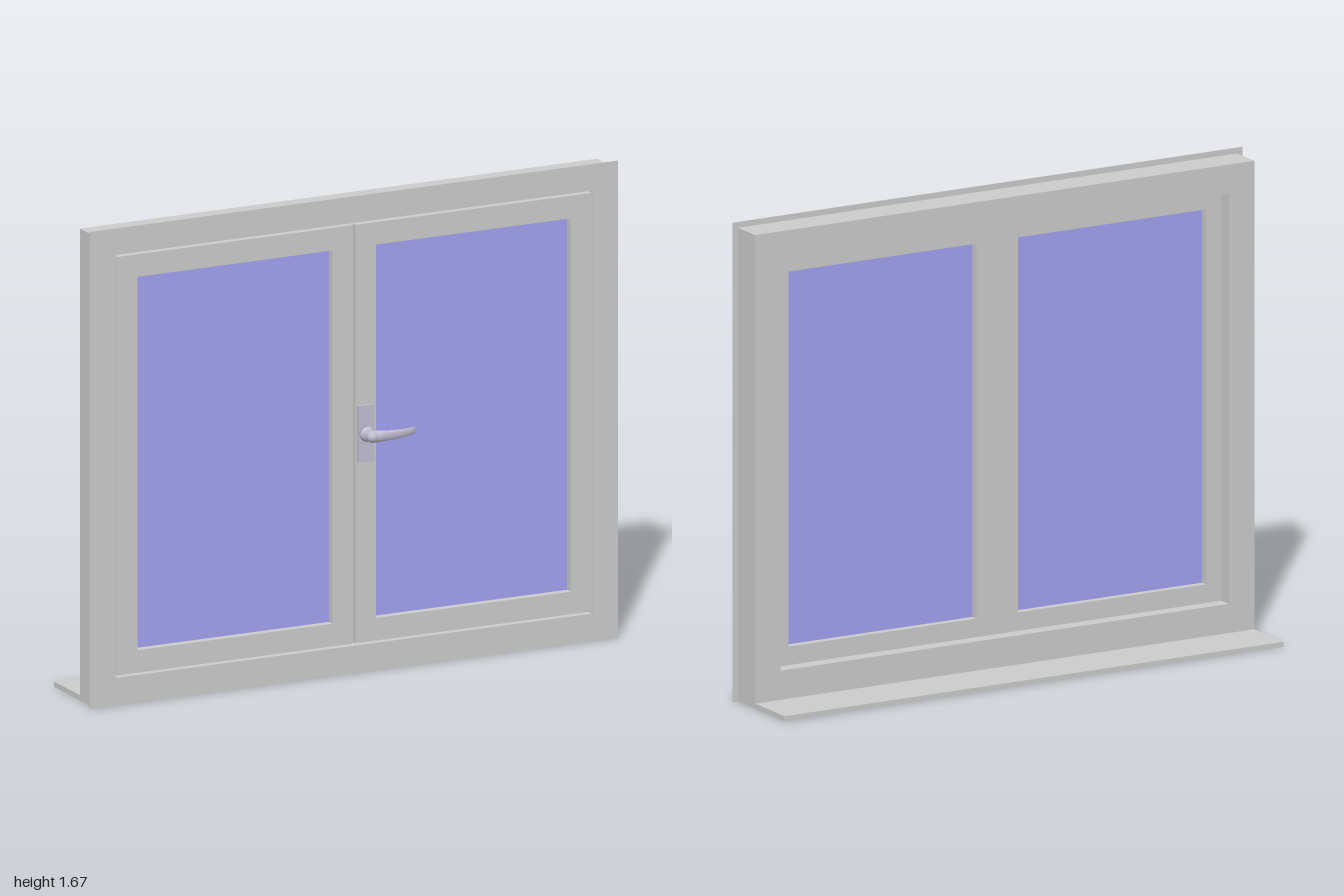
import * as THREE from 'three';

const grey = new THREE.MeshStandardMaterial({ color: 0xcccccc });
const glassMat = new THREE.MeshStandardMaterial({ color: 0xa2a2f0 });
const handleMat = new THREE.MeshStandardMaterial({ color: 0xc2bed2, side: THREE.DoubleSide });

function add(parent, name, geometry, material = grey) {
  const mesh = new THREE.Mesh(geometry, material);
  mesh.name = name;
  parent.add(mesh);
  return mesh;
}

// Box given by its minimum and maximum corners
function box(x0, x1, y0, y1, z0, z1) {
  return new THREE.BoxGeometry(x1 - x0, y1 - y0, z1 - z0)
    .translate((x0 + x1) / 2, (y0 + y1) / 2, (z0 + z1) / 2);
}

function rectPoints([x0, x1, y0, y1]) {
  return [[x0, y0], [x1, y0], [x1, y1], [x0, y1]].map(([x, y]) => new THREE.Vector2(x, y));
}

// Rectangular ring: outer and inner are [x0, x1, y0, y1]
function ring(outer, inner, z0, z1) {
  const shape = new THREE.Shape(rectPoints(outer));
  shape.holes.push(new THREE.Path(rectPoints(inner).reverse()));
  return new THREE.ExtrudeGeometry(shape, { depth: z1 - z0, bevelEnabled: false }).translate(0, 0, z0);
}

// Lever: elliptical sections [x, z, angle of path, half thickness, half height]
function leverGeometry(cy) {
  const sections = [
    [0.04, 0.14, Math.PI / 2, 0.015, 0.016],
    [0.041, 0.158, 1.5, 0.017, 0.018],
    [0.046, 0.172, 1.0, 0.021, 0.021],
    [0.06, 0.179, 0.3, 0.016, 0.02],
    [0.085, 0.182, 0, 0.009, 0.018],
    [0.12, 0.182, -0.08, 0.006, 0.016],
    [0.16, 0.178, -0.2, 0.005, 0.014],
    [0.19, 0.17, -0.35, 0.004, 0.013],
    [0.207, 0.163, -0.45, 0.003, 0.011],
    [0.21, 0.162, -0.45, 0.0005, 0.004],
  ];
  const n = 16, pos = [], index = [];
  sections.forEach(([x, z, a, t, h], i) => {
    for (let j = 0; j < n; j++) {
      const p = (j / n) * Math.PI * 2, off = Math.cos(p) * t;
      pos.push(x - Math.sin(a) * off, cy + Math.sin(p) * h, z + Math.cos(a) * off);
      if (i === 0) continue;
      const k = (j + 1) % n, r0 = (i - 1) * n, r1 = i * n;
      index.push(r0 + j, r1 + j, r1 + k, r0 + j, r1 + k, r0 + k);
    }
  });
  // Flip the winding so the outside faces forward
  for (let i = 0; i < index.length; i += 3) [index[i], index[i + 1]] = [index[i + 1], index[i]];
  const g = new THREE.BufferGeometry();
  g.setAttribute('position', new THREE.Float32BufferAttribute(pos, 3));
  g.setIndex(index);
  g.computeVertexNormals();
  return g;
}

export function createModel() {
  const root = new THREE.Group();
  root.name = 'window';
  const front = 0.118, rebate = 0.05;

  // Fixed frame: narrow opening behind, wider opening in front for the sashes
  const frame = new THREE.Group();
  frame.name = 'frame';
  root.add(frame);
  const body = [-0.98, 0.98, 0, 1.655], frontHole = [-0.902, 0.902, 0.098, 1.582];
  add(frame, 'frameBack', ring(body, [-0.88, 0.88, 0.12, 1.555], 0, rebate));
  add(frame, 'frameFront', ring(body, frontHole, rebate, front - 0.004));
  add(frame, 'frameFlange', ring([-1, 1, 0, 1.675], frontHole, front - 0.004, front));

  // Outer sill
  add(root, 'sill', box(-0.98, 0.98, 0, 0.018, -0.195, 0));

  // Pair of sashes with their panes
  for (const side of [-1, 1]) {
    const sash = new THREE.Group();
    sash.name = side > 0 ? 'leftSash' : 'rightSash';
    root.add(sash);
    const span = (a, b) => (side > 0 ? [a, b] : [-b, -a]);
    add(sash, 'sashFrame', ring([...span(0.004, 0.9), 0.106, 1.574],
      [...span(0.082, 0.82), 0.185, 1.495], rebate, front));
    add(sash, 'glassPane', box(...span(0.075, 0.827), 0.178, 1.502, 0.076, 0.09), glassMat);
  }
  // Strip closing the gap between the sashes
  add(root, 'meetingStrip', box(-0.02, 0.02, 0.108, 1.572, rebate + 0.001, 0.1));

  // Handle: plate, screws, collar and lever
  const handle = new THREE.Group();
  handle.name = 'handle';
  root.add(handle);
  const hx = 0.041, hy = 0.84;
  add(handle, 'handlePlate', box(0.011, 0.071, 0.74, 0.94, front, 0.129), handleMat);
  for (const dy of [-0.08, 0.08]) {
    add(handle, 'screw', new THREE.CylinderGeometry(0.005, 0.005, 0.003, 12)
      .rotateX(Math.PI / 2).translate(hx, hy + dy, 0.129), handleMat);
  }
  const collar = [[0, 0], [0.027, 0], [0.027, 0.01], [0.022, 0.014], [0.019, 0.024], [0, 0.024]]
    .map(([r, h]) => new THREE.Vector2(r, h));
  add(handle, 'handleCollar', new THREE.LatheGeometry(collar, 24)
    .rotateX(Math.PI / 2).translate(hx, hy, 0.129), handleMat);
  add(handle, 'handleLever', leverGeometry(hy), handleMat);
  // Rounded end of the elbow
  add(handle, 'handleElbow', new THREE.SphereGeometry(0.021, 20, 14)
    .translate(hx, hy, 0.174), handleMat);

  return root;
}
